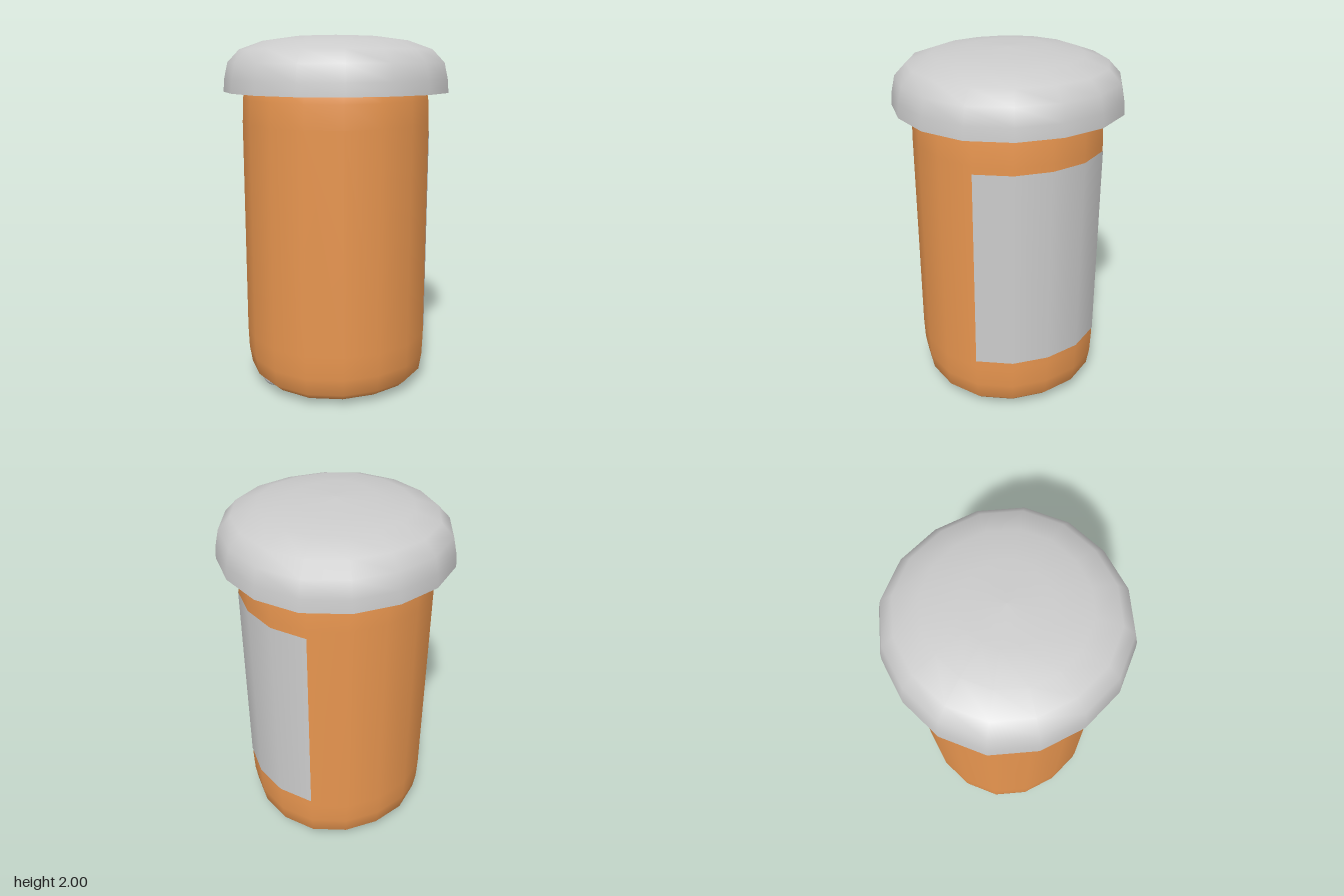
import * as THREE from 'three';

const SIDES = 16;

// Lathe whose round section swells slightly towards the diagonals
function roundedLathe(profile, segments = SIDES, start = 0, sweep = Math.PI * 2) {
  const points = profile.map(([r, y]) => new THREE.Vector2(r, y));
  const geometry = new THREE.LatheGeometry(points, segments, start, sweep);
  const pos = geometry.attributes.position;
  for (let i = 0; i < pos.count; i++) {
    const x = pos.getX(i), z = pos.getZ(i);
    const k = 1 + 0.014 * (1 - Math.cos(4 * Math.atan2(x, z)));
    pos.setX(i, x * k);
    pos.setZ(i, z * k);
  }
  return geometry;
}

function addPart(group, name, geometry, material) {
  const mesh = new THREE.Mesh(geometry, material);
  mesh.name = name;
  group.add(mesh);
  return mesh;
}

export function createModel() {
  const group = new THREE.Group();
  group.name = 'pillBottle';

  const orange = new THREE.MeshStandardMaterial({ color: 0xe7954f });
  const grey = new THREE.MeshStandardMaterial({ color: 0xcccccc });
  const greyThin = new THREE.MeshStandardMaterial({ color: 0xcccccc, side: THREE.DoubleSide });

  // Bottle: the same rounded end at the bottom and, mirrored, under the lid
  const end = [[0, 0.005], [0.2, 0.008], [0.38, 0.017], [0.46, 0.035],
    [0.5, 0.075], [0.515, 0.17], [0.52, 0.3]];
  const top = end.map(([r, y]) => [r, 1.82 - y]).reverse();
  addPart(group, 'bottle', roundedLathe([...end, ...top]), orange);

  // Label: quarter wrap on the left side
  addPart(group, 'label',
    roundedLathe([[0.523, 0.34], [0.523, 1.48]], SIDES / 4, Math.PI / 4, Math.PI / 2), greyThin);

  // Lid: thin domed cap, open underneath
  addPart(group, 'lid', roundedLathe([[0.62, 1.69], [0.615, 1.76], [0.595, 1.85],
    [0.53, 1.92], [0.4, 1.967], [0.22, 1.992], [0, 2]]), greyThin);

  // Pill resting at the bottom, its underside just showing
  const pill = addPart(group, 'pill', new THREE.SphereGeometry(0.08, 12, 8), grey);
  pill.scale.set(0.6, 0.5, 1);
  pill.position.set(-0.42, 0.04, 0);

  return group;
}
